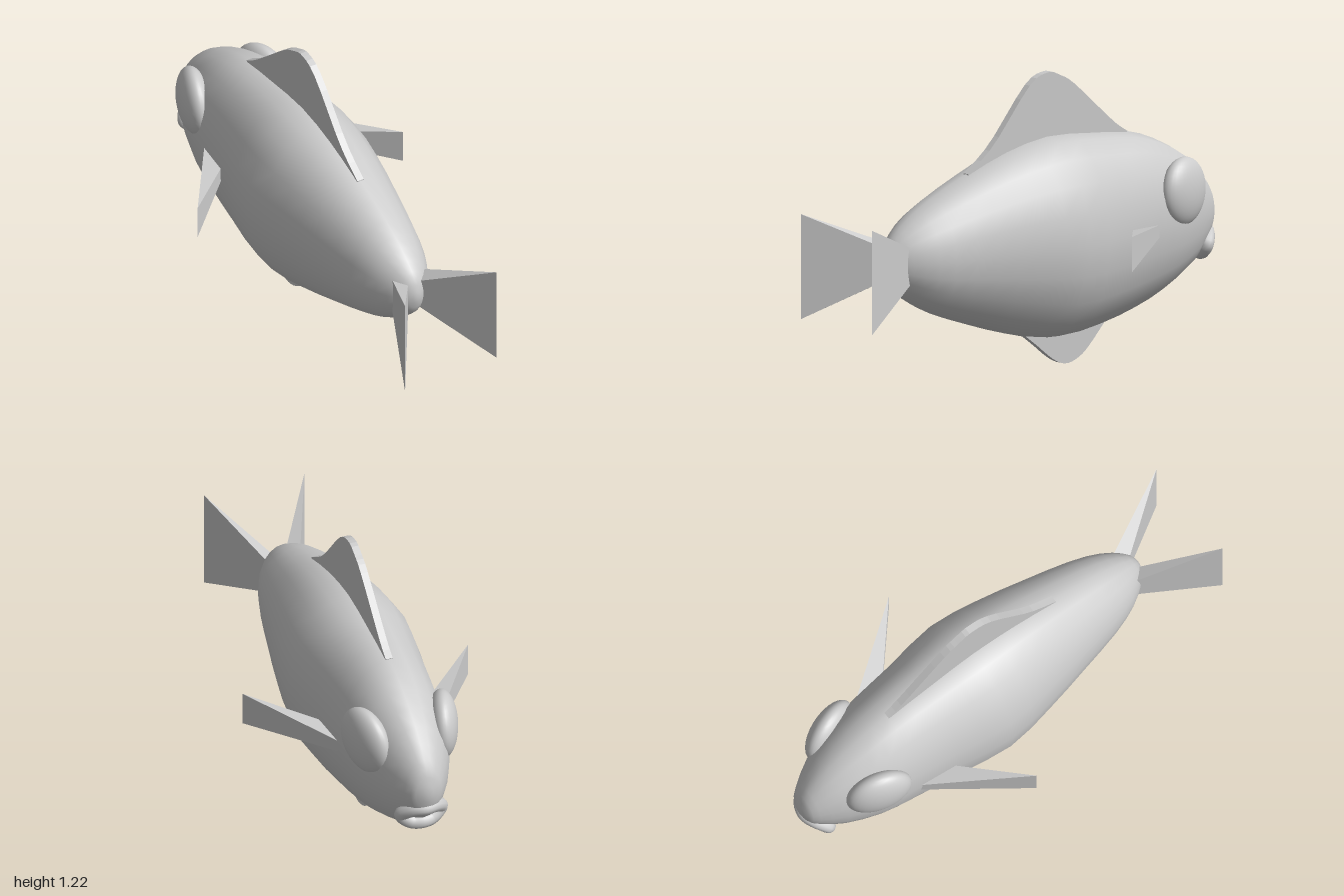
import * as THREE from 'three';
import { ConvexGeometry } from 'three/addons/geometries/ConvexGeometry.js';

const grey = new THREE.MeshStandardMaterial({ color: 0xcccccc });

function addMesh(group, name, geometry) {
  const mesh = new THREE.Mesh(geometry, grey);
  mesh.name = name;
  group.add(mesh);
  return mesh;
}

// Smooth body lofted from elliptical rings: [z, top y, bottom y, half width]
function bodyGeometry() {
  const rings = [
    [-1, 0.54, 0.54, 0], [-0.985, 0.615, 0.465, 0.05], [-0.95, 0.68, 0.4, 0.085],
    [-0.85, 0.78, 0.31, 0.145], [-0.7, 0.865, 0.235, 0.2], [-0.55, 0.915, 0.182, 0.222],
    [-0.35, 0.94, 0.138, 0.247], [-0.12, 0.956, 0.12, 0.28], [0.1, 0.92, 0.168, 0.252],
    [0.3, 0.855, 0.232, 0.212], [0.5, 0.775, 0.305, 0.168], [0.62, 0.71, 0.37, 0.125],
    [0.7, 0.645, 0.435, 0.072], [0.73, 0.595, 0.485, 0.036], [0.742, 0.54, 0.54, 0],
  ];
  const spline = (f) => new THREE.CatmullRomCurve3(
    rings.map((r) => new THREE.Vector3(...f(r))), false, 'catmullrom', 0.5);
  const profile = spline((r) => [r[0], r[1], r[2]]);
  const width = spline((r) => [r[3], 0, 0]);
  const sides = 20, steps = (rings.length - 1) * 2;
  const positions = [], index = [];
  for (let i = 0; i <= steps; i++) {
    const p = profile.getPoint(i / steps), w = Math.max(0, width.getPoint(i / steps).x);
    for (let j = 0; j < sides; j++) {
      const a = (j / sides) * Math.PI * 2;
      positions.push(w * Math.sin(a), (p.y + p.z) / 2 + ((p.y - p.z) / 2) * Math.cos(a), p.x);
      if (i === steps) continue;
      const k = (j + 1) % sides, n = i * sides;
      if (i < steps - 1) index.push(n + j, n + sides + j, n + sides + k);
      if (i > 0) index.push(n + j, n + sides + k, n + k);
    }
  }
  const g = new THREE.BufferGeometry();
  g.setAttribute('position', new THREE.Float32BufferAttribute(positions, 3));
  g.setIndex(index);
  g.computeVertexNormals();
  // The pole vertices share a position but not triangles, so give them the axis direction
  for (let j = 0; j < sides; j++) {
    g.attributes.normal.setXYZ(j, 0, 0, -1);
    g.attributes.normal.setXYZ(steps * sides + j, 0, 0, 1);
  }
  return g;
}

// Wedge fin: each corner is [x, z, low y, high y]
function wedgeGeometry(corners, side) {
  return new ConvexGeometry(corners.flatMap(([x, z, low, high]) => [
    new THREE.Vector3(x * side, low, z), new THREE.Vector3(x * side, high, z),
  ]));
}

// Thin upright fin: outline given as [z, y], edge curved, closed by straight root points
function uprightFinGeometry(edge, root) {
  const v = ([z, y]) => new THREE.Vector2(-z, y);
  const shape = new THREE.Shape();
  shape.moveTo(...v(edge[0]).toArray());
  shape.splineThru(edge.slice(1).map(v));
  root.forEach((p) => shape.lineTo(...v(p).toArray()));
  const g = new THREE.ExtrudeGeometry(shape, { depth: 0.03, bevelEnabled: false, curveSegments: 3 });
  return g.translate(0, 0, -0.015).rotateY(Math.PI / 2);
}

export function createModel() {
  const fish = new THREE.Group();
  fish.name = 'fish';
  addMesh(fish, 'body', bodyGeometry());

  addMesh(fish, 'dorsalFin', uprightFinGeometry(
    [[0.305, 0.855], [0.17, 0.955], [-0.02, 1.17], [-0.12, 1.217], [-0.19, 1.197],
      [-0.27, 1.148], [-0.47, 0.972], [-0.55, 0.917]],
    [[-0.5, 0.85], [0.305, 0.845]]));
  addMesh(fish, 'bellyFin', uprightFinGeometry(
    [[0.02, 0.16], [-0.06, 0.1], [-0.15, 0.03], [-0.22, 0.002], [-0.29, 0.02],
      [-0.35, 0.065], [-0.45, 0.17]],
    [[-0.42, 0.22], [-0.02, 0.22]]));

  // Paired eyes, side fins and tail fins
  for (const [label, side] of [['left', 1], ['right', -1]]) {
    const eye = addMesh(fish, label + 'Eye', new THREE.SphereGeometry(1, 32, 20));
    eye.scale.set(0.065, 0.142, 0.14);
    eye.position.set(0.165 * side, 0.667, -0.717);
    eye.rotation.y = 0.3 * side;

    addMesh(fish, label + 'SideFin', wedgeGeometry(
      [[0.215, -0.55, 0.51, 0.56], [0.21, -0.41, 0.505, 0.56], [0.487, -0.16, 0.46, 0.606]], side));
    addMesh(fish, label + 'TailFin', wedgeGeometry(
      [[0.052, 0.62, 0.475, 0.59], [0.004, 0.68, 0.485, 0.58], [0.217, 1, 0.317, 0.75]], side));
  }

  // Lips: a closed ring wrapped around the snout
  const lipPath = new THREE.CatmullRomCurve3([
    [0, 0.455, -0.967], [0.045, 0.45, -0.952], [0.085, 0.408, -0.912], [0.045, 0.372, -0.922],
    [0, 0.368, -0.932], [-0.045, 0.372, -0.922], [-0.085, 0.408, -0.912], [-0.045, 0.45, -0.952],
  ].map((p) => new THREE.Vector3(...p)), true);
  addMesh(fish, 'lips', new THREE.TubeGeometry(lipPath, 48, 0.03, 12, true));

  return fish;
}
